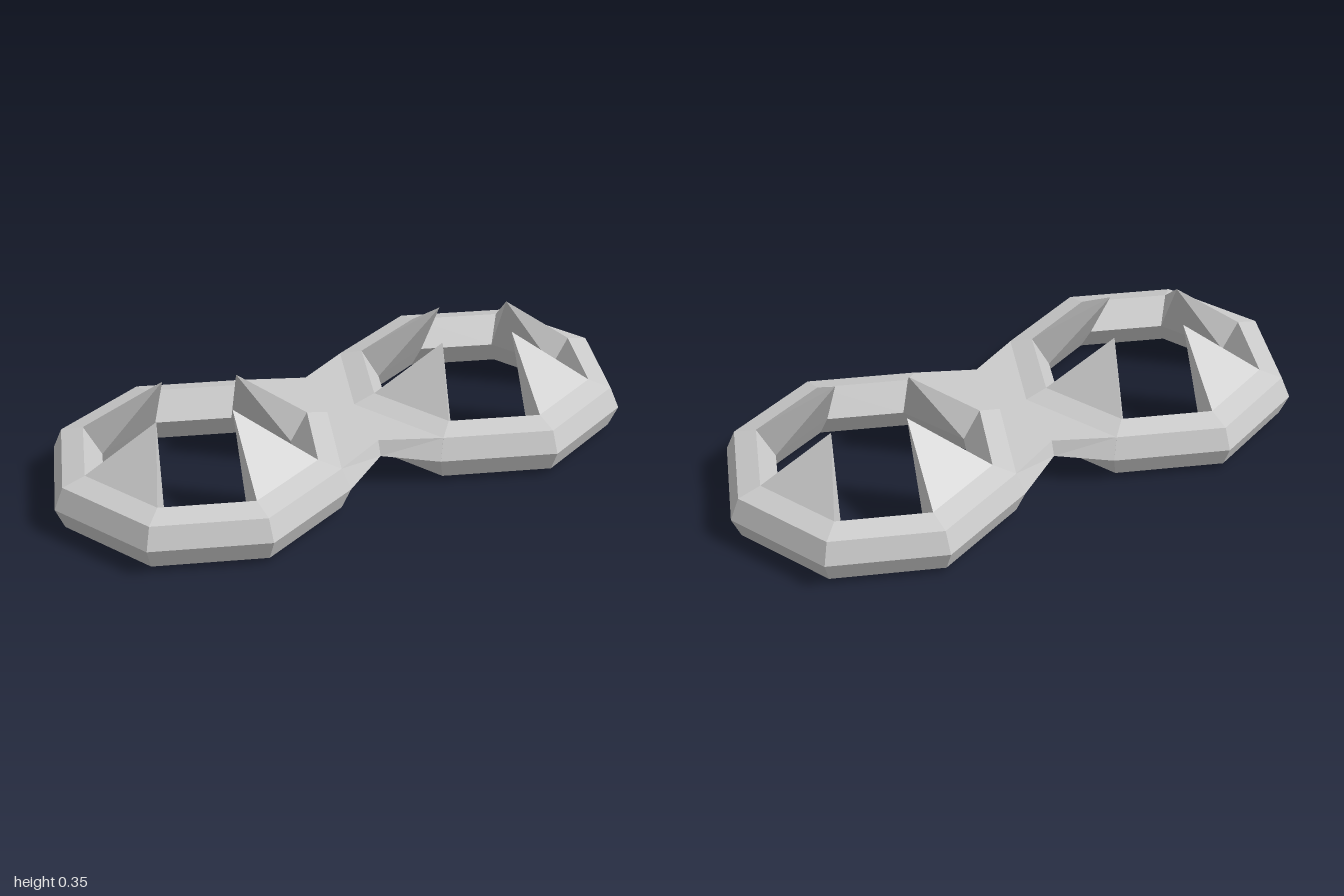
import * as THREE from 'three';

const material = new THREE.MeshStandardMaterial({ color: 0xcccccc, flatShading: true });

// Unindexed mesh from corner triples
function facetMesh(name, corners) {
  const geometry = new THREE.BufferGeometry().setFromPoints(corners);
  geometry.computeVertexNormals();
  const mesh = new THREE.Mesh(geometry, material);
  mesh.name = name;
  return mesh;
}

// Eight-sided ring with bevelled outside and a ridged inner wall
function makeBand() {
  const profile = [
    [0.385, 0], [0.46, 0.02], [0.49, 0.09], [0.46, 0.16],
    [0.385, 0.18], [0.325, 0.09], [0.385, 0],
  ].map(([r, y]) => new THREE.Vector2(r, y));
  const mesh = new THREE.Mesh(new THREE.LatheGeometry(profile, 8), material);
  mesh.name = 'band';
  return mesh;
}

// Spike rising inward from the upper inner facet of one ring segment
function makeSpike(angle, tipRadius, tipHeight) {
  const at = (r, y, t) => new THREE.Vector3(r * Math.cos(t), y, r * Math.sin(t));
  const half = Math.PI / 8;
  const a = at(0.385, 0.18, angle - half), b = at(0.385, 0.18, angle + half);
  const c = at(0.325, 0.09, angle - half), d = at(0.325, 0.09, angle + half);
  const tip = at(tipRadius, tipHeight, angle);
  return facetMesh('spike', [a, tip, b, d, tip, c, a, c, tip, b, tip, d]);
}

// Waisted link between the rings, one quadrant mirrored four ways
function makeBridge() {
  const v = (x, y, z) => new THREE.Vector3(x, y, z);
  const topCentre = v(0, 0.16, 0), topWaist = v(0, 0.16, 0.235);
  const topCorner = v(0.185, 0.16, 0.325), topRing = v(0.05, 0.16, 0);
  const lowCentre = v(0, 0.1, 0), lowWaist = v(0, 0.11, 0.25);
  const lowCorner = v(0.1635, 0.09, 0.3465), lowRing = v(0.02, 0.09, 0);
  const quads = [
    [topCentre, topWaist, topCorner, topRing],
    [lowWaist, lowCorner, topCorner, topWaist],
    [lowCentre, lowRing, lowCorner, lowWaist],
  ];
  const corners = [];
  for (const sx of [1, -1]) {
    for (const sz of [1, -1]) {
      for (const [a, b, c, d] of quads) {
        const tris = sx * sz > 0 ? [a, b, c, a, c, d] : [a, c, b, a, d, c];
        corners.push(...tris.map((p) => v(p.x * sx, p.y, p.z * sz)));
      }
    }
  }
  return facetMesh('bridge', corners);
}

export function createModel() {
  const model = new THREE.Group();
  model.name = 'doubleSpikedRing';

  // Two identical rings, each with four spikes on alternate segments
  for (const [name, x] of [['leftRing', 0.51], ['rightRing', -0.51]]) {
    const ring = new THREE.Group();
    ring.name = name;
    ring.position.x = x;
    ring.add(makeBand());
    for (let i = 0; i < 4; i++) {
      const angle = -Math.PI / 8 + (i * Math.PI) / 2;
      ring.add(i % 2 ? makeSpike(angle, 0.143, 0.35) : makeSpike(angle, 0.186, 0.342));
    }
    model.add(ring);
  }

  model.add(makeBridge());
  return model;
}
